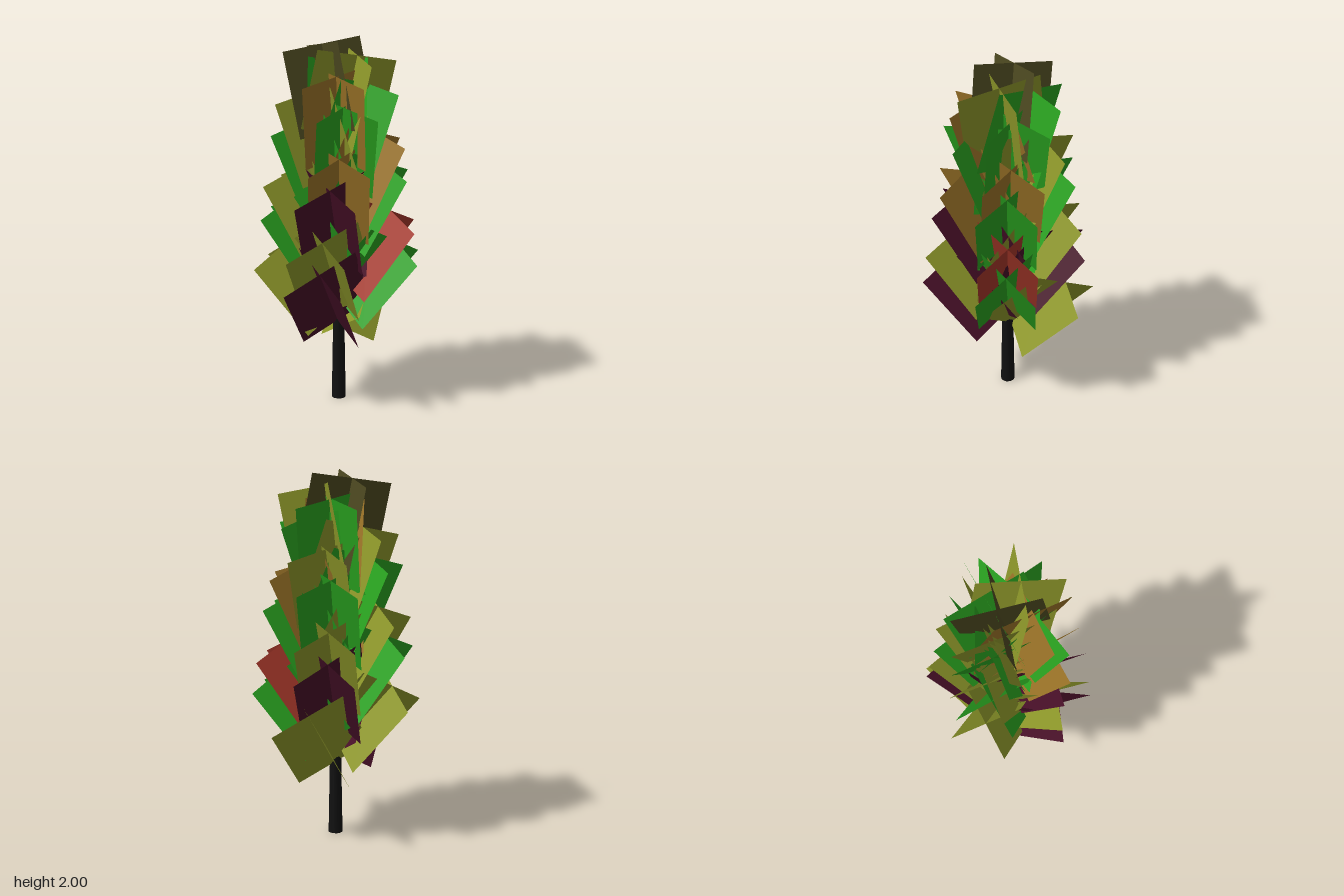
import * as THREE from 'three';

const COLORS = {
  green: 0x2aa420, yellow: 0x8e982a, maroon: 0x481028,
  red: 0xa8382a, orange: 0x9c7428, olive: 0x4c4820,
};

// Leaf clusters from bottom to top: heading in degrees (0 = front, 90 = +x) and colour
const LEAVES = [
  [172, 'yellow'], [-5, 'maroon'], [272, 'yellow'], [98.5, 'green'],
  [-4, 'yellow'], [189, 'maroon'], [100, 'red'], [276, 'green'],
  [189, 'yellow'], [2, 'maroon'], [268, 'yellow'], [99, 'green'],
  [13, 'orange'], [190, 'green'], [105, 'orange'], [270, 'green'],
  [180, 'yellow'], [21, 'green'], [268, 'yellow'], [111, 'green'],
  [7, 'orange'], [187, 'green'], [77, 'yellow'], [261, 'olive'],
];

export function createModel() {
  const model = new THREE.Group();
  model.name = 'tree';
  const tree = new THREE.Group();
  tree.name = 'trunkAndFoliage';
  tree.position.set(-0.01, 0, 0.003);
  model.add(tree);

  // Slim tapering trunk
  const trunk = new THREE.Mesh(
    new THREE.CylinderGeometry(0.012, 0.04, 1.55, 12),
    new THREE.MeshStandardMaterial({ color: 0x111111 })
  );
  trunk.name = 'trunk';
  trunk.position.y = 0.775;
  tree.add(trunk);

  // A flat leaf sheet standing on its lower edge
  const sheet = new THREE.PlaneGeometry(0.445, 0.465).translate(0, 0.2325, 0);
  const materials = {};
  for (const [key, color] of Object.entries(COLORS)) {
    materials[key] = new THREE.MeshStandardMaterial({ color, side: THREE.DoubleSide });
  }

  // Pairs of crossed sheets climb the trunk and lean out less towards the top
  LEAVES.forEach(([heading, color], i) => {
    const t = i / (LEAVES.length - 1);
    const cluster = new THREE.Group();
    cluster.name = `leafCluster${i + 1}`;
    const a = THREE.MathUtils.degToRad(heading);
    const r = 0.02 * (1 - t);
    cluster.rotation.order = 'YXZ';
    cluster.rotation.set(THREE.MathUtils.degToRad(42.5 - 30.5 * t), a, 0);
    cluster.position.set(r * Math.sin(a), 0.408 + 1.105 * t, r * Math.cos(a));
    for (const side of [-1, 1]) {
      const leaf = new THREE.Mesh(sheet, materials[color]);
      leaf.name = side < 0 ? 'leafSheetA' : 'leafSheetB';
      leaf.rotation.y = side * Math.PI / 4;
      cluster.add(leaf);
    }
    tree.add(cluster);
  });

  return model;
}
